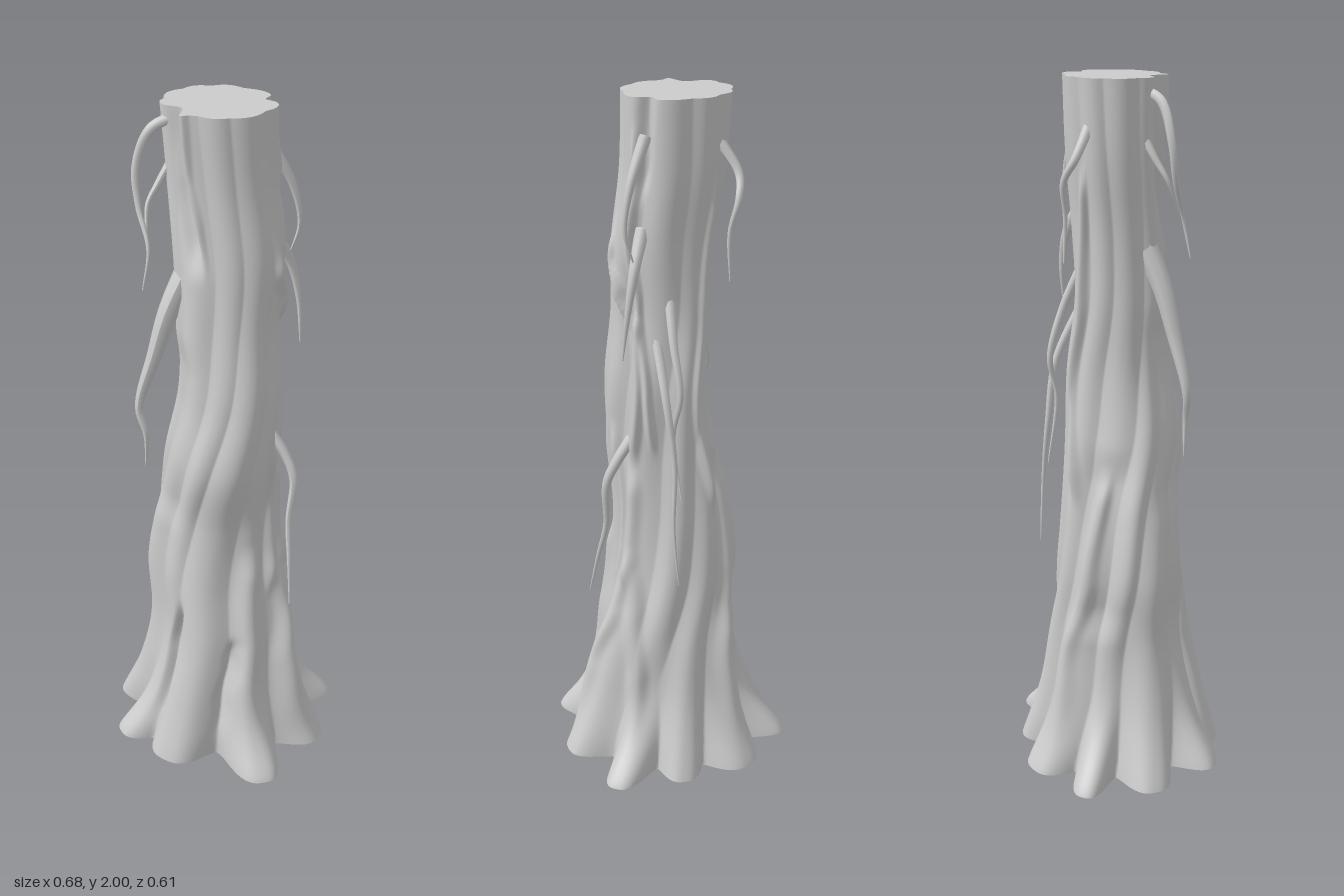
import * as THREE from 'three';

const H = 2;
const material = new THREE.MeshStandardMaterial({ color: 0xcccccc, side: THREE.DoubleSide });

// Trunk extents at even heights: [xMin, xMax, zMin, zMax]
const extents = [
  [-0.34, 0.34, -0.30, 0.30], [-0.265, 0.265, -0.24, 0.26], [-0.22, 0.22, -0.21, 0.22],
  [-0.225, 0.175, -0.185, 0.19], [-0.195, 0.16, -0.165, 0.18], [-0.155, 0.17, -0.145, 0.205],
  [-0.12, 0.175, -0.135, 0.175], [-0.125, 0.16, -0.12, 0.145], [-0.135, 0.165, -0.125, 0.13],
  [-0.155, 0.145, -0.145, 0.12], [-0.17, 0.14, -0.155, 0.125],
];
const rail = (fn) => new THREE.CatmullRomCurve3(extents.map(fn), false, 'catmullrom', 0.5);
const centres = rail(([a, b, c, d]) => new THREE.Vector3((a + b) / 2, 0, (c + d) / 2));
const halves = rail(([a, b, c, d]) => new THREE.Vector3((b - a) / 2, 0, (d - c) / 2));

// Buttress roots: [angle from +z towards +x, reach on the ground, reach at the ankle, half width]
const roots = [
  [-2.80, 1.06, 0.95, 0.31], [2.86, 0.97, 0.97, 0.23], [2.26, 1.11, 0.78, 0.22], [1.47, 1.0, 0.98, 0.31],
  [0.65, 1.17, 0.9, 0.27], [-0.235, 1.02, 0.98, 0.33], [-0.78, 1.08, 0.88, 0.25], [-1.52, 1.01, 0.98, 0.3],
  [-2.2, 1.11, 0.85, 0.2],
];

// Strands grown into the bark, or grooves if negative: height, half width, then [angle, y] from the top down
const strands = [
  [-0.23, 0.22, [-0.64, 2.3], [-0.63, 1.95], [-0.52, 1.8], [-0.3, 1.55]],
  [0.1, 0.07, [-0.32, 2.2], [-0.3, 1.85], [-0.18, 1.7], [-0.12, 1.55]],
  [-0.12, 0.15, [2.2, 2.2], [2.1, 1.85], [2.0, 1.7]],
  [0.13, 0.1, [1.35, 1.7], [1.5, 1.58], [1.8, 1.48], [2.15, 1.38], [2.25, 1.2], [2.1, 0.95]],
  [0.1, 0.07, [1.9, 1.95], [2.0, 1.65], [2.2, 1.45], [2.45, 1.2], [2.5, 1.0]],
  [0.12, 0.08, [-2.6, 1.8], [-2.75, 1.4], [-2.9, 1.1], [-2.8, 0.8]],
  [0.14, 0.1, [1.6, 1.1], [1.65, 0.9], [1.58, 0.7], [1.45, 0.5]],
  [0.12, 0.15, [2.05, 1.0], [1.85, 0.7], [1.65, 0.5], [1.4, 0.3], [1.25, -0.1]],
  [0.1, 0.14, [1.85, 0.72], [2.05, 0.5], [2.2, 0.3], [2.28, -0.2]],
  [0.1, 0.15, [0.95, 0.75], [0.78, 0.45], [0.68, 0.25], [0.64, -0.2]],
  [-0.16, 0.09, [0.6, 0.45], [0.5, 0.36], [0.36, 0.2], [0.25, 0.02]],
  [0.1, 0.14, [-2.2, 0.95], [-2.5, 0.6], [-2.7, 0.3], [-2.8, -0.2]],
  [-0.13, 0.07, [-0.25, 0.55], [-0.5, 0.35], [-0.52, 0.02]],
  [-0.1, 0.45, [-0.8, 1.4], [-0.8, 0.75]],
  [-0.13, 0.45, [-2.2, 1.0], [-2.25, 0.4]],
];
const wrap = (a) => Math.atan2(Math.sin(a), Math.cos(a));
const { smoothstep, lerp } = THREE.MathUtils;

// Relief of one strand at a spot on the bark, fading out at both ends and at the ground
function strandRelief([height, width, ...path], angle, y) {
  const k = path.findIndex(([, bottom]) => y >= bottom);
  if (k < 1) return 0;
  const [a0, y0] = path[k - 1], [a1, y1] = path[k];
  const d = Math.abs(wrap(angle - lerp(a0, a1, smoothstep(y0 - y, 0, y0 - y1)))) / width;
  const ends = smoothstep(path[0][1] - y, 0, 0.12) * smoothstep(y - path[path.length - 1][1], 0, 0.12);
  return height * ends * smoothstep(y, 0.02, 0.3) * Math.exp(-Math.pow(d, 2.6));
}

// Share of the envelope that the bark reaches: roots at the foot become twisting ridges
function ridge(angle, y) {
  const a = angle - 1.1 * smoothstep(y, 0.1, 1.5) - 0.07 * Math.sin(y * 5);
  const foot = Math.exp(-y / 0.22), toe = Math.exp(-Math.pow(y / 0.12, 1.6));
  const valley = lerp(0.88, 0.71, Math.exp(-y / 0.4));
  const widen = lerp(1.2, 1, foot);
  let f = valley;
  for (const [centre, reach, ankle, width] of roots) {
    const d = Math.abs(wrap(a - centre)) / (width * widen);
    const peak = lerp(lerp(ankle, 0.98, smoothstep(y, 0.2, 0.65)), reach, toe);
    f = Math.max(f, valley + (peak - valley) * Math.exp(-Math.pow(d, lerp(2.2, 3, foot))));
  }
  const middle = smoothstep(y, 0.15, 0.6) * (1 - smoothstep(y, 1.4, 1.9));
  f += middle * (0.045 * Math.sin(3 * a + 1) + 0.02 * Math.sin(5 * a + y * 7));
  return strands.reduce((sum, strand) => sum + strandRelief(strand, angle, y), f);
}

// Point on the bark
function bark(angle, y) {
  const c = centres.getPoint(y / H), h = halves.getPoint(y / H), f = ridge(angle, y);
  return new THREE.Vector3(c.x + h.x * f * Math.sin(angle), y, c.z + h.z * f * Math.cos(angle));
}

function add(group, name, geometry) {
  const mesh = new THREE.Mesh(geometry, material);
  mesh.name = name;
  group.add(mesh);
}

function meshFrom(points, index) {
  const geometry = new THREE.BufferGeometry().setFromPoints(points);
  geometry.setIndex(index);
  geometry.computeVertexNormals();
  return geometry;
}

const AROUND = 260;
function ring(y) {
  return Array.from({ length: AROUND }, (_, i) => bark((i / AROUND) * Math.PI * 2, y));
}

function trunkGeometry(up = 150) {
  const points = [], index = [];
  for (let j = 0; j <= up; j++) points.push(...ring(H * Math.pow(j / up, 1.15)));
  for (let j = 0; j < up; j++) {
    for (let i = 0; i < AROUND; i++) {
      const a = j * AROUND + i, b = j * AROUND + ((i + 1) % AROUND);
      index.push(a, b, b + AROUND, a, b + AROUND, a + AROUND);
    }
  }
  return meshFrom(points, index);
}

// Flat cut across the trunk
function capGeometry(y, faceUp) {
  const c = centres.getPoint(y / H);
  const points = [new THREE.Vector3(c.x, y, c.z), ...ring(y)], index = [];
  for (let i = 0; i < AROUND; i++) {
    const a = i + 1, b = ((i + 1) % AROUND) + 1;
    index.push(0, ...(faceUp ? [a, b] : [b, a]));
  }
  return meshFrom(points, index);
}

// Tube along a path, narrowing to a tip
function taperedTube(path, radius, sides = 8, segments = 48) {
  const curve = new THREE.CatmullRomCurve3(path);
  const geometry = new THREE.TubeGeometry(curve, segments, 1, sides, false);
  const pos = geometry.attributes.position, v = new THREE.Vector3();
  for (let i = 0; i < pos.count; i++) {
    const t = Math.floor(i / (sides + 1)) / segments;
    const p = curve.getPointAt(t);
    v.fromBufferAttribute(pos, i).sub(p).multiplyScalar(lerp(radius, 0.002, t)).add(p);
    pos.setXYZ(i, v.x, v.y, v.z);
  }
  geometry.computeVertexNormals();
  return geometry;
}

// Hanging aerial roots: start radius, then x, y, z points
const hanging = [
  [0.016, [-0.1, 1.97, 0.03], [-0.165, 1.94, 0.07], [-0.205, 1.84, 0.085], [-0.195, 1.74, 0.1], [-0.155, 1.64, 0.135], [-0.165, 1.53, 0.155]],
  [0.014, [-0.12, 1.86, 0.03], [-0.155, 1.79, 0.06], [-0.175, 1.74, 0.085], [-0.165, 1.66, 0.12]],
  [0.038, [-0.06, 1.6, 0.04], [-0.12, 1.45, 0.09], [-0.155, 1.32, 0.115], [-0.195, 1.16, 0.14], [-0.175, 1.08, 0.145], [-0.18, 0.97, 0.14]],
  [0.018, [0.1, 1.9, -0.06], [0.16, 1.78, -0.09], [0.18, 1.67, -0.1], [0.155, 1.58, -0.1]],
  [0.02, [0.11, 1.66, -0.06], [0.155, 1.56, -0.1], [0.18, 1.45, -0.11], [0.192, 1.32, -0.1]],
  [0.016, [-0.08, 1.9, -0.09], [-0.125, 1.8, -0.15], [-0.11, 1.74, -0.178], [-0.09, 1.65, -0.17], [-0.09, 1.52, -0.175]],
  [0.016, [0.04, 1.52, -0.07], [0.06, 1.36, -0.14], [0.06, 1.22, -0.18], [0.07, 1.1, -0.16], [0.06, 0.9, -0.19]],
  [0.015, [0.08, 1.38, -0.07], [0.09, 1.2, -0.155], [0.08, 1.02, -0.185], [0.09, 0.83, -0.2], [0.08, 0.65, -0.212]],
  [0.018, [0.11, 1.08, -0.03], [0.18, 0.99, -0.03], [0.21, 0.92, -0.02], [0.205, 0.78, 0], [0.22, 0.66, 0.03], [0.235, 0.53, 0.06]],
];

export function createModel() {
  const model = new THREE.Group();
  model.name = 'treeTrunk';
  add(model, 'trunk', trunkGeometry());
  add(model, 'topCut', capGeometry(H, true));
  add(model, 'baseCut', capGeometry(0, false));

  const vines = new THREE.Group();
  vines.name = 'hangingRoots';
  for (const [radius, ...path] of hanging) {
    add(vines, 'hangingRoot', taperedTube(path.map((p) => new THREE.Vector3(...p)), radius));
  }
  model.add(vines);
  return model;
}
